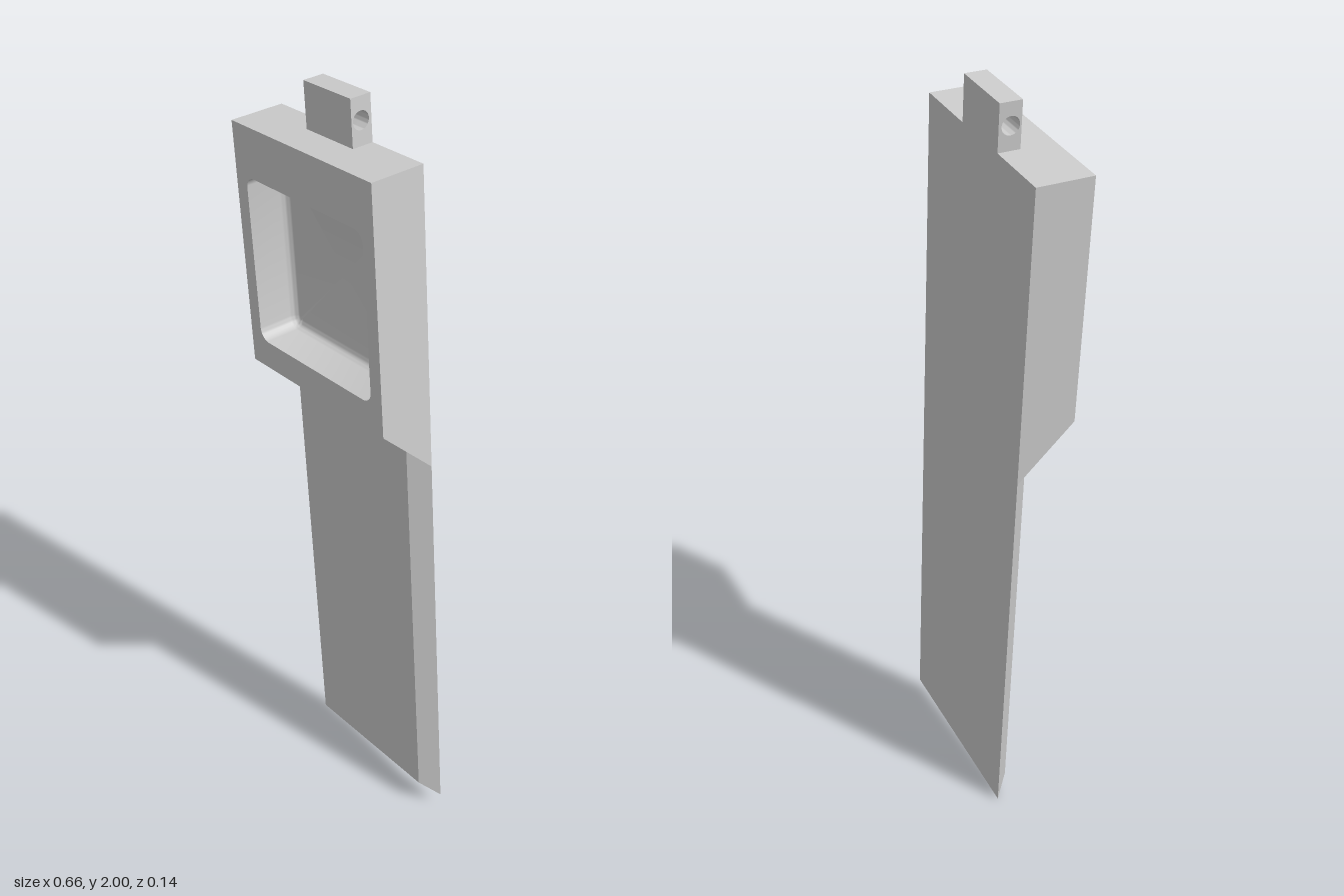
import * as THREE from 'three';
import { mergeVertices, toCreasedNormals } from 'three/addons/utils/BufferGeometryUtils.js';

const W = 0.253, TOP = 1.865;          // half width and length of the body
const BACK = -0.071, FRONT = 0.071;    // housing depth
const BLADE = -0.029, BEVEL = 0.042;   // blade front and its 45 degree bevel
const LIP = 1.239;                     // lower front edge of the housing
const POCKET = { y: 1.526, half: 0.214, r: 0.03, depth: 0.11, fillet: 0.02 };

const material = new THREE.MeshStandardMaterial({ color: 0xcccccc });

function addMesh(group, name, geometry) {
  const mesh = new THREE.Mesh(geometry, material);
  mesh.name = name;
  group.add(mesh);
}

// Flat convex polygons, corners counter-clockwise seen from outside
function polygons(faces) {
  const pos = [];
  for (const f of faces)
    for (let i = 1; i < f.length - 1; i++) pos.push(...f[0], ...f[i], ...f[i + 1]);
  const g = new THREE.BufferGeometry();
  g.setAttribute('position', new THREE.Float32BufferAttribute(pos, 3));
  g.computeVertexNormals();
  return g;
}

// Counter-clockwise rounded square around the pocket centre
function roundedSquare(half, r, steps = 8) {
  const pts = [];
  for (let c = 0; c < 4; c++) {
    const mid = Math.PI / 4 + c * Math.PI / 2;
    const cx = Math.sign(Math.cos(mid)) * (half - r), cy = Math.sign(Math.sin(mid)) * (half - r);
    for (let i = 0; i <= steps; i++) {
      const a = (c + i / steps) * Math.PI / 2;
      pts.push(new THREE.Vector2(cx + r * Math.cos(a), POCKET.y + cy + r * Math.sin(a)));
    }
  }
  return pts;
}

// Pocket wall, floor fillet and floor
function pocketGeometry() {
  const { half, r, depth, fillet } = POCKET;
  const rings = [[0, FRONT]];
  for (let i = 0; i <= 6; i++) {
    const a = i / 6 * Math.PI / 2;
    rings.push([fillet * (1 - Math.cos(a)), FRONT - depth + fillet * (1 - Math.sin(a))]);
  }
  const pos = [], index = [];
  let n = 0;
  for (const [inset, z] of rings) {
    const pts = roundedSquare(half - inset, r - inset);
    n = pts.length;
    for (const p of pts) pos.push(p.x, p.y, z);
  }
  for (let k = 0; k < rings.length - 1; k++)
    for (let i = 0; i < n; i++) {
      const a = k * n + i, b = k * n + (i + 1) % n;
      index.push(a, b, a + n, b, b + n, a + n);
    }
  const last = (rings.length - 1) * n, centre = pos.length / 3;
  pos.push(0, POCKET.y, FRONT - depth);
  for (let i = 0; i < n; i++) index.push(last + i, last + (i + 1) % n, centre);
  const g = new THREE.BufferGeometry();
  g.setAttribute('position', new THREE.Float32BufferAttribute(pos, 3));
  g.setIndex(index);
  return toCreasedNormals(mergeVertices(g), 0.6);
}

export function createModel() {
  const model = new THREE.Group();
  model.name = 'model';
  const body = new THREE.Group();
  body.name = 'tiltedBody';
  body.position.set(0.078, 0.022, 0);
  body.rotation.z = 0.0858;
  model.add(body);

  // Housing: top, sides and sloping underside
  const heel = LIP - (FRONT - BACK);
  addMesh(body, 'housingShell', polygons([
    [[-W, TOP, FRONT], [W, TOP, FRONT], [W, TOP, BACK], [-W, TOP, BACK]],
    [[W, LIP, FRONT], [W, heel, BACK], [W, TOP, BACK], [W, TOP, FRONT]],
    [[-W, LIP, FRONT], [-W, TOP, FRONT], [-W, TOP, BACK], [-W, heel, BACK]],
    [[-W, LIP, FRONT], [-W, heel, BACK], [W, heel, BACK], [W, LIP, FRONT]],
  ]));

  // Housing front with the pocket opening
  const face = new THREE.Shape([
    new THREE.Vector2(-W, LIP), new THREE.Vector2(W, LIP),
    new THREE.Vector2(W, TOP), new THREE.Vector2(-W, TOP),
  ]);
  face.holes.push(new THREE.Path(roundedSquare(POCKET.half, POCKET.r)));
  addMesh(body, 'housingFront', new THREE.ShapeGeometry(face).translate(0, 0, FRONT));
  addMesh(body, 'pocket', pocketGeometry());

  // Blade: bevelled front running up into the sloping underside
  const w = W - BEVEL, bladeTop = heel + BEVEL;
  addMesh(body, 'blade', polygons([
    [[-w, BEVEL, BLADE], [w, BEVEL, BLADE], [w, bladeTop, BLADE], [-w, bladeTop, BLADE]],
    [[-W, 0, BACK], [W, 0, BACK], [w, BEVEL, BLADE], [-w, BEVEL, BLADE]],
    [[W, 0, BACK], [W, heel, BACK], [w, bladeTop, BLADE], [w, BEVEL, BLADE]],
    [[-W, 0, BACK], [-w, BEVEL, BLADE], [-w, bladeTop, BLADE], [-W, heel, BACK]],
  ]));
  addMesh(body, 'backPlate', polygons([
    [[W, 0, BACK], [-W, 0, BACK], [-W, TOP, BACK], [W, TOP, BACK]],
  ]));

  // Hanging tab with a cross hole, extruded along the width
  const tabW = 0.083, tabFront = -0.016, tabTop = 1.978;
  const side = new THREE.Shape([
    new THREE.Vector2(-tabFront, TOP), new THREE.Vector2(-BACK, TOP),
    new THREE.Vector2(-BACK, tabTop), new THREE.Vector2(-tabFront, tabTop),
  ]);
  const hole = new THREE.Path();
  hole.absarc(0.042, 1.923, 0.022, 0, Math.PI * 2, true);
  side.holes.push(hole);
  const tab = new THREE.ExtrudeGeometry(side, { depth: 2 * tabW, bevelEnabled: false, curveSegments: 24 });
  tab.translate(0, 0, -tabW).rotateY(Math.PI / 2);
  addMesh(body, 'hangingTab', toCreasedNormals(tab, 0.6));

  return model;
}
